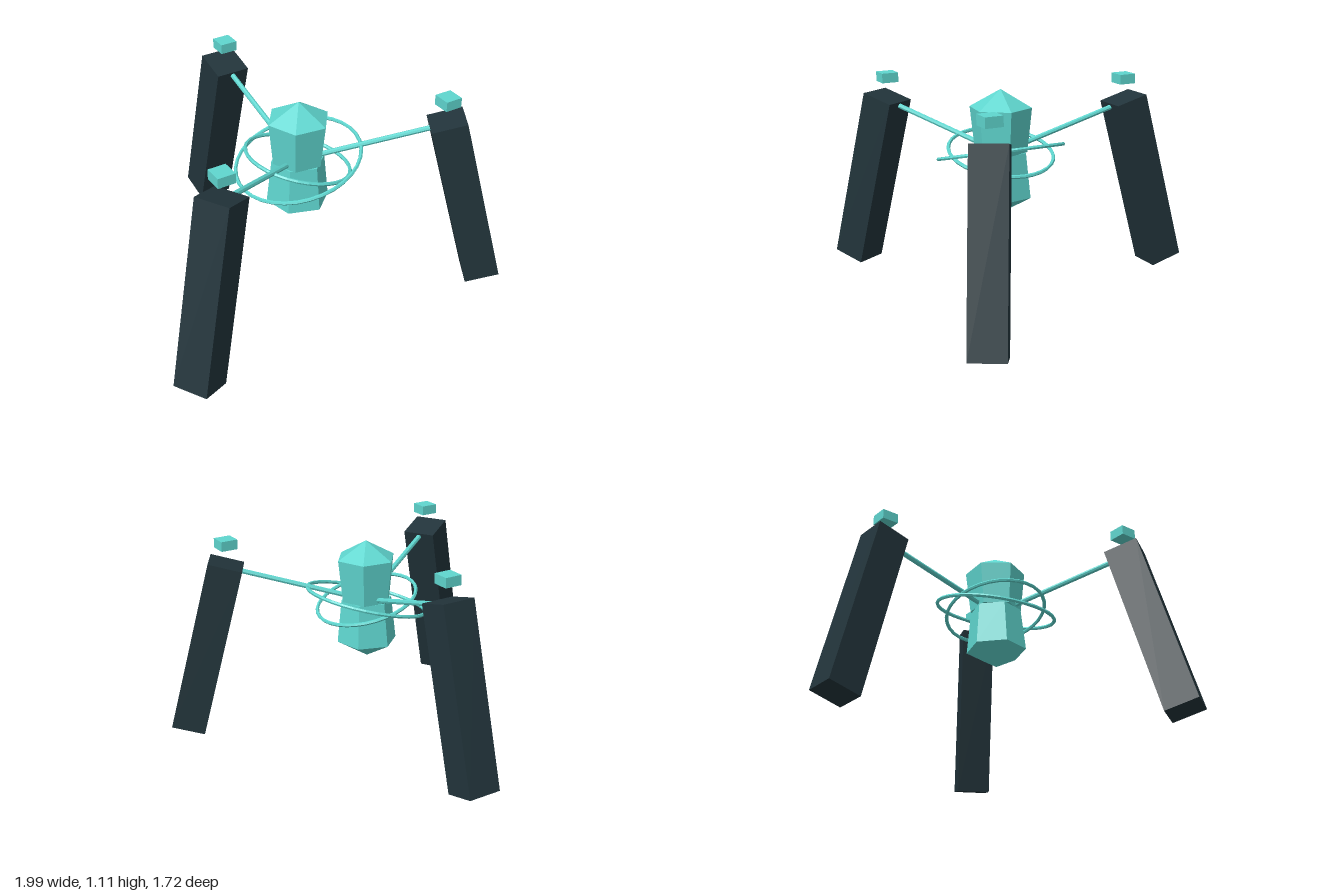
import * as THREE from 'three';

export function createModel() {
  const model = new THREE.Group();
  const teal = new THREE.MeshStandardMaterial({ color: 0x5fd6cf, flatShading: true });
  teal.name = 'teal crystal';
  const dark = new THREE.MeshStandardMaterial({ color: 0x22343b, flatShading: true });
  dark.name = 'dark stone';

  const deg = THREE.MathUtils.degToRad;
  const tilt = deg(15);

  // everything is arranged around one vertical axis
  const hub = new THREE.Group();
  hub.name = 'hub';
  hub.position.z = 0.235;
  model.add(hub);

  function add(parent, name, geometry, material, x, y, z) {
    const mesh = new THREE.Mesh(geometry, material);
    mesh.name = name;
    mesh.position.set(x, y, z);
    parent.add(mesh);
    return mesh;
  }

  // six-sided crystal core: pinched waist, pointed ends, halves twisted apart
  const rim = 0.165, waist = 0.14;
  const core = [
    ['coreTip', 0, rim, 0.995, 1.09, 0.4],
    ['coreUpper', rim, waist, 0.76, 0.995, 0.4],
    ['coreLower', waist, rim, 0.52, 0.76, 0.2],
    ['coreBase', rim, 0, 0.425, 0.52, 0.2],
  ];
  for (const [name, top, bottom, y0, y1, twist] of core) {
    const geometry = new THREE.CylinderGeometry(top, bottom, y1 - y0, 6);
    add(hub, name, geometry, teal, 0, (y0 + y1) / 2, 0).rotation.y = twist;
  }

  // two thin rings tilted in opposite directions
  for (const [name, radius, lean] of [['outerRing', 0.33, tilt], ['innerRing', 0.277, -tilt]]) {
    const geometry = new THREE.TorusGeometry(radius, 0.01, 6, 32).rotateX(Math.PI / 2);
    add(hub, name, geometry, teal, 0, 0.757, 0).rotation.z = lean;
  }

  // three leaning pillars, each with a strut to the core and a floating block
  ['back', 'right', 'left'].forEach((side, i) => {
    const angle = i * Math.PI * 2 / 3;
    const arm = new THREE.Group();
    arm.name = side + 'Arm';
    arm.rotation.y = angle;
    hub.add(arm);

    const pillar = new THREE.BoxGeometry(0.186, 0.984, 0.186);
    add(arm, side + 'Pillar', pillar, dark, 0, 0.5, -0.879).rotation.x = tilt;

    const strut = new THREE.CylinderGeometry(0.014, 0.014, 0.6, 8);
    add(arm, side + 'Strut', strut, teal, 0, 0.861, -0.41).rotation.x = tilt - Math.PI / 2;

    // blocks stay square to the world axes
    const block = new THREE.BoxGeometry(0.093, 0.053, 0.093);
    add(hub, side + 'Block', block, teal, -Math.sin(angle) * 0.748, 1.085, -Math.cos(angle) * 0.748);
  });

  return model;
}
